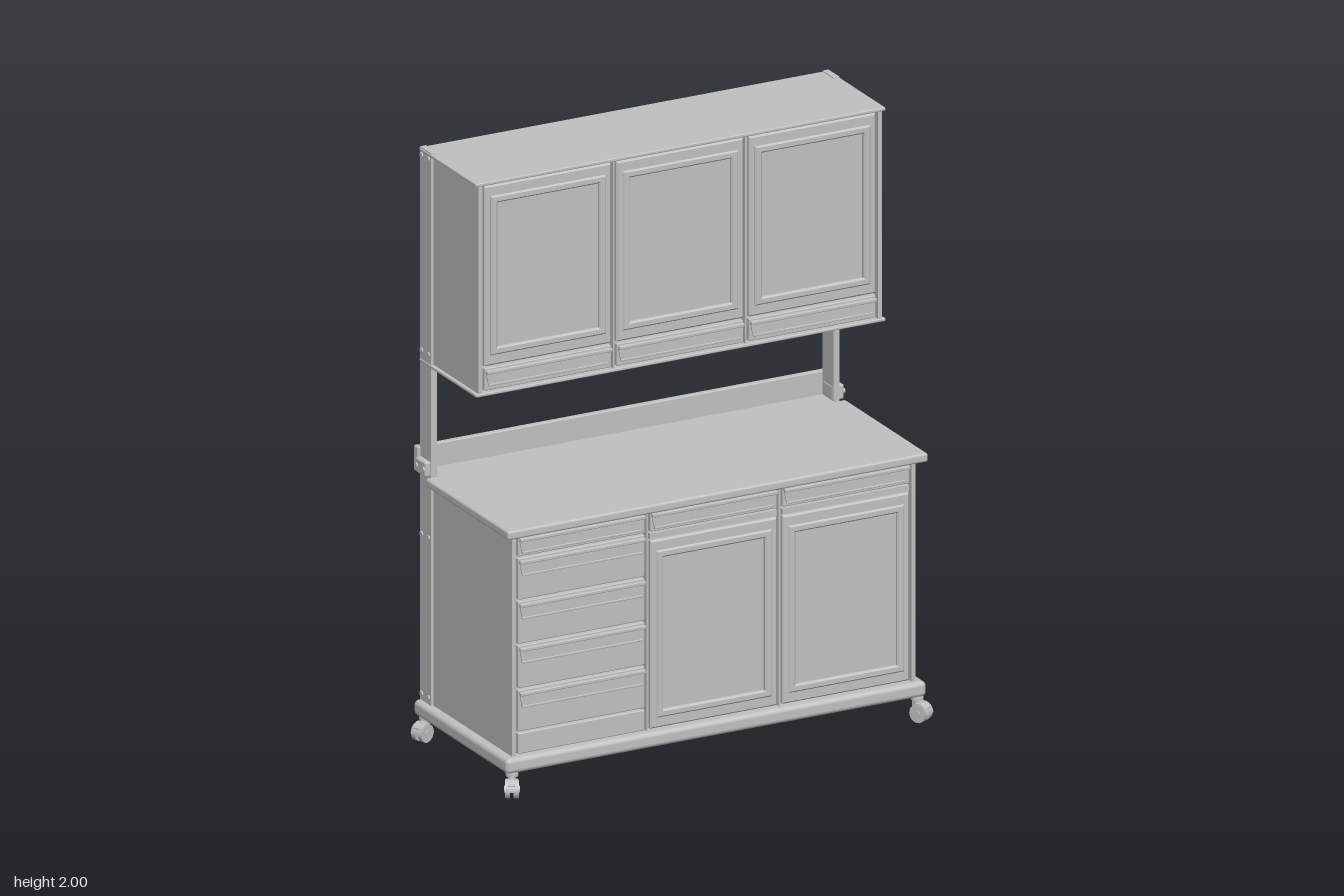
import * as THREE from 'three';
import { RoundedBoxGeometry } from 'three/addons/geometries/RoundedBoxGeometry.js';

const steel = new THREE.MeshStandardMaterial({ color: 0xc0c0c0 });
steel.name = 'brushed grey';

function add(parent, name, geometry, x = 0, y = 0, z = 0) {
  const m = new THREE.Mesh(geometry, steel);
  m.name = name;
  m.position.set(x, y, z);
  parent.add(m);
  return m;
}

// Box given by its limits, optionally with rounded edges
function box(parent, name, [x0, x1], [y0, y1], [z0, z1], r = 0) {
  const s = [x1 - x0, y1 - y0, z1 - z0];
  const g = r ? new RoundedBoxGeometry(...s, 3, r) : new THREE.BoxGeometry(...s);
  return add(parent, name, g, (x0 + x1) / 2, (y0 + y1) / 2, (z0 + z1) / 2);
}

function rectPoints(w, h) {
  return [[-w, -h], [w, -h], [w, h], [-w, h]].map(([x, y]) => new THREE.Vector2(x / 2, y / 2));
}

// Rectangular frame with bevelled edges, back face at z
function frame(parent, name, x, y, z, w, h, holeW, holeH, depth) {
  const b = 0.005;
  const shape = new THREE.Shape(rectPoints(w - 2 * b, h - 2 * b));
  shape.holes.push(new THREE.Path(rectPoints(holeW + 2 * b, holeH + 2 * b).reverse()));
  const g = new THREE.ExtrudeGeometry(shape, {
    depth: depth - 2 * b, bevelEnabled: true, bevelSize: b, bevelThickness: b, bevelSegments: 1,
  });
  add(parent, name, g, x, y, z + b);
}

// Framed door with a recessed pane; f is the front plane of the cabinet
function door(parent, x, y0, y1, f) {
  const door = new THREE.Group();
  door.name = 'door';
  const y = (y0 + y1) / 2, h = y1 - y0;
  frame(door, 'doorFrame', x, y, f - 0.02, 0.455, h, 0.385, h - 0.09, 0.02);
  frame(door, 'paneMoulding', x, y, f - 0.012, 0.415, h - 0.07, 0.365, h - 0.12, 0.018);
  box(door, 'pane', [x - 0.19, x + 0.19], [y0 + 0.04, y1 - 0.04], [f - 0.025, f - 0.014]);
  parent.add(door);
}

// Drawer front with a full width grip whose lower edge is tapered
function drawer(parent, x, y0, y1, f) {
  const drawer = new THREE.Group();
  drawer.name = 'drawer';
  box(drawer, 'drawerFront', [x - 0.2275, x + 0.2275], [y0, y1], [f - 0.02, f], 0.004);
  const plate = new THREE.Shape([[-0.215, -0.05], [0.215, -0.05], [0.225, 0], [-0.225, 0]]
    .map(p => new THREE.Vector2(...p)));
  add(drawer, 'gripPlate', new THREE.ExtrudeGeometry(plate, { depth: 0.004, bevelEnabled: false }), x, y1 - 0.008, f);
  box(drawer, 'gripLip', [x - 0.225, x + 0.225], [y1 - 0.018, y1 - 0.006], [f, f + 0.014], 0.003);
  box(drawer, 'gripSill', [x - 0.215, x + 0.215], [y1 - 0.06, y1 - 0.053], [f, f + 0.007], 0.002);
  parent.add(drawer);
}

// Carcass with side stiles, dividers and rails standing flush with the fronts
function carcass(parent, name, y0, y1, f) {
  const g = new THREE.Group();
  g.name = name;
  box(g, 'carcass', [-0.725, 0.725], [y0, y1], [-0.308, f - 0.022]);
  for (const s of [-1, 1]) {
    box(g, 'sideStile', [s * 0.7175 - 0.0075, s * 0.7175 + 0.0075], [y0, y1], [f - 0.03, f]);
    box(g, 'divider', [s * 0.2375 - 0.003, s * 0.2375 + 0.003], [y0, y1], [f - 0.03, f - 0.003]);
  }
  parent.add(g);
  return g;
}

// Small swivel castor with a pair of wheels
function castor(parent, x, z, turn) {
  const g = new THREE.Group();
  g.name = 'castor';
  g.position.set(x, 0, z);
  g.rotation.y = turn;
  add(g, 'stem', new THREE.CylinderGeometry(0.012, 0.012, 0.03, 16), 0, 0.072, 0);
  add(g, 'collar', new THREE.CylinderGeometry(0.02, 0.02, 0.01, 20), 0, 0.076, 0);
  box(g, 'fork', [-0.006, 0.006], [0.025, 0.068], [-0.018, 0.022], 0.004);
  for (const s of [-1, 1]) {
    add(g, 'wheel', new THREE.CylinderGeometry(0.03, 0.03, 0.016, 24), s * 0.014, 0.03, 0.014).rotation.z = Math.PI / 2;
    add(g, 'hub', new THREE.CylinderGeometry(0.012, 0.012, 0.022, 16), s * 0.014, 0.03, 0.014).rotation.z = Math.PI / 2;
  }
  const hood = new THREE.CylinderGeometry(0.034, 0.034, 0.04, 16, 1, false, 0, Math.PI * 0.6);
  const h = add(g, 'brakeHood', hood, 0, 0.03, 0.014);
  h.rotation.z = Math.PI / 2;
  box(g, 'brakeLever', [-0.012, 0.012], [0.048, 0.054], [0.015, 0.045], 0.002);
  parent.add(g);
}

export function createModel() {
  const model = new THREE.Group();
  model.name = 'workshopCabinet';
  const unit = new THREE.Group();
  unit.name = 'cabinetUnit';
  unit.position.x = 0.01;
  model.add(unit);
  const columns = [-0.475, 0, 0.475];

  // Base plinth and castors
  box(unit, 'plinth', [-0.755, 0.755], [0.08, 0.132], [-0.318, 0.312], 0.016);
  for (const s of [-1, 1]) {
    castor(unit, s * 0.728, 0.295, s * 0.5);
    castor(unit, s * 0.728, -0.285, s * 1.2);
  }

  // Lower cabinet: drawer stack, two doors below drawers
  const lf = 0.29;
  const lower = carcass(unit, 'lowerCabinet', 0.13, 0.878, lf);
  [[0.803, 0.873], [0.657, 0.797], [0.508, 0.651], [0.358, 0.502], [0.212, 0.352]]
    .forEach(([a, b]) => drawer(lower, columns[0], a, b, lf));
  box(lower, 'kickPanel', [-0.7025, -0.2475], [0.136, 0.206], [lf - 0.02, lf], 0.004);
  for (const x of columns.slice(1)) {
    drawer(lower, x, 0.803, 0.873, lf);
    door(lower, x, 0.137, 0.772, lf);
    box(lower, 'middleRail', [x - 0.2275, x + 0.2275], [0.777, 0.797], [lf - 0.02, lf - 0.002]);
  }

  // Worktop, narrower between the posts, and splashback
  box(unit, 'worktop', [-0.755, 0.755], [0.876, 0.906], [-0.235, 0.32], 0.008);
  box(unit, 'worktopBack', [-0.712, 0.712], [0.876, 0.906], [-0.318, -0.225]);
  box(unit, 'splashback', [-0.73, 0.73], [0.895, 0.985], [-0.33, -0.309], 0.004);

  // Upper cabinet with thin top and bottom plates
  const uf = 0.065;
  const upper = carcass(unit, 'upperCabinet', 1.28, 1.988, uf);
  box(upper, 'topPlate', [-0.736, 0.736], [1.984, 1.996], [-0.312, 0.07], 0.004);
  box(upper, 'bottomPlate', [-0.736, 0.736], [1.273, 1.284], [-0.312, 0.07], 0.004);
  for (const x of columns) {
    door(upper, x, 1.372, 1.98, uf);
    drawer(upper, x, 1.289, 1.365, uf);
  }

  // Posts with brackets and paired bolts
  for (const s of [-1, 1]) {
    const post = new THREE.Group();
    post.name = 'post';
    const span = (a, b) => [Math.min(s * a, s * b), Math.max(s * a, s * b)];
    box(post, 'postColumn', span(0.712, 0.734), [0.13, 2], [-0.31, -0.235], 0.002);
    box(post, 'worktopBracket', span(0.71, 0.753), [0.905, 0.955], [-0.306, -0.24], 0.006);
    box(post, 'splashClamp', span(0.725, 0.745), [0.9, 0.985], [-0.332, -0.306], 0.004);
    for (const y of [1.975, 1.315, 0.93, 0.695, 0.155]) {
      for (const z of [-0.25, -0.296]) {
        const x = y === 0.93 ? 0.754 : 0.735;
        const b = add(post, 'bolt', new THREE.CylinderGeometry(0.009, 0.009, 0.008, 12), s * x, y, z);
        b.rotation.z = Math.PI / 2;
      }
    }
    unit.add(post);
  }
  return model;
}
